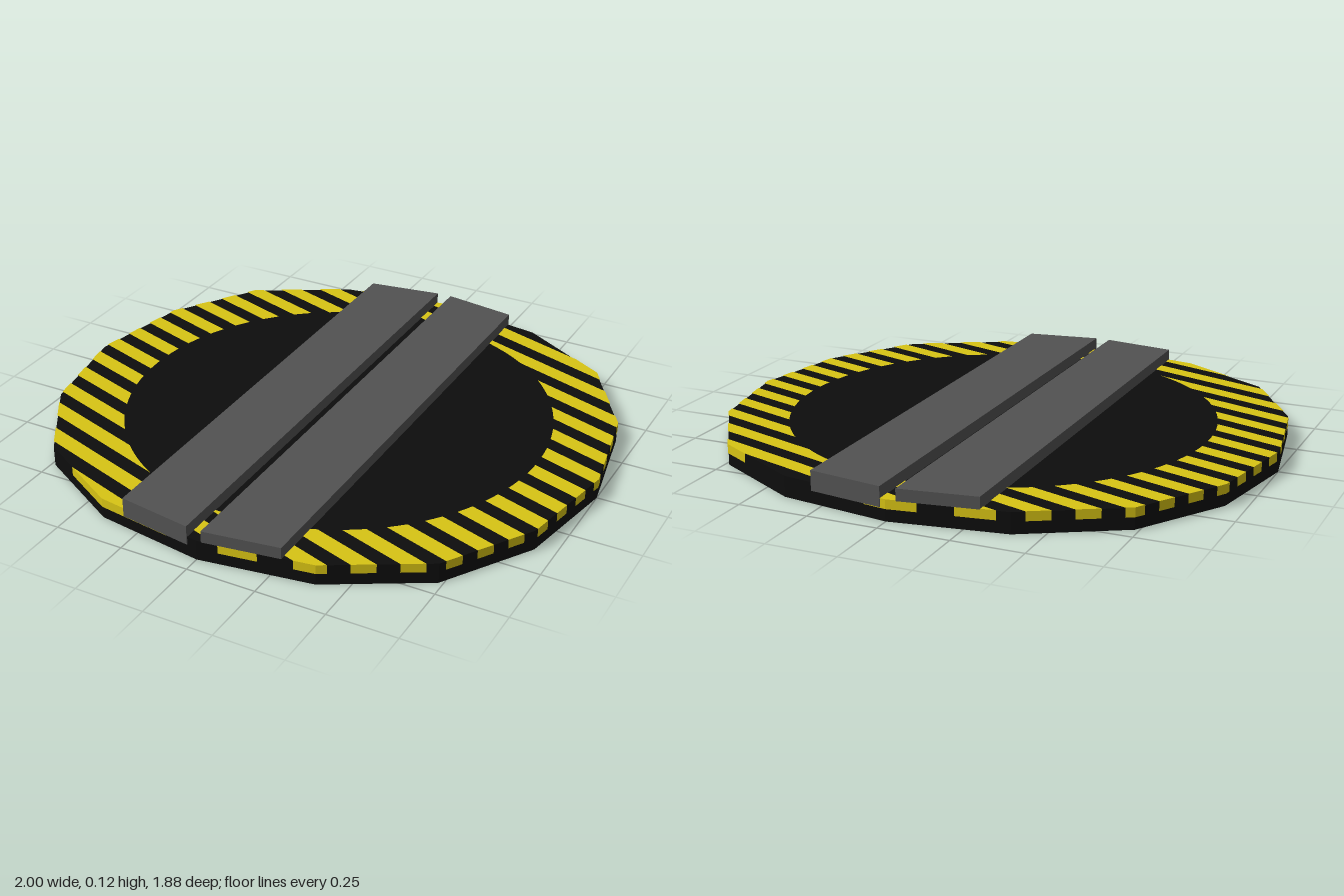
import * as THREE from 'three';

const black = new THREE.MeshStandardMaterial({ name: 'matte black', color: 0x0d0d0d });
const yellow = new THREE.MeshStandardMaterial({ name: 'hazard yellow', color: 0xd8c414 });
const grey = new THREE.MeshStandardMaterial({ name: 'rail grey', color: 0x525252 });

const TOP = 0.073, BAND = 0.042, SLOPE = 0.325;

// Sixteen-sided, slightly squashed outline, mirrored from one quadrant, as [x, z]
const quarter = [[1, 0], [0.93, 0.38], [0.735, 0.69], [0.4, 0.88], [0, 0.94]];
function outline(scale = 1) {
  const points = [];
  for (let i = 0; i < 16; i++) {
    const k = i % 8;
    const [x, z] = quarter[k <= 4 ? k : 8 - k];
    const sx = i > 4 && i < 12 ? -1 : 1, sz = i > 8 ? -1 : 1;
    points.push([sx * x * scale, sz * z * scale]);
  }
  return points;
}

// Upright prism over a plan given as [x, z] points
function prism(name, plan, y0, y1, material) {
  const shape = new THREE.Shape(plan.map(([x, z]) => new THREE.Vector2(x, -z)));
  const geometry = new THREE.ExtrudeGeometry(shape, { depth: y1 - y0, bevelEnabled: false });
  geometry.rotateX(-Math.PI / 2).translate(0, y0, 0);
  const mesh = new THREE.Mesh(geometry, material);
  mesh.name = name;
  return mesh;
}

// Parallel diagonal stripes z = SLOPE * x + c, around the rim and over its edge
function stripes() {
  const rim = outline(1.002), y = TOP + 0.002, positions = [];
  const offset = ([x, z]) => z - SLOPE * x;
  const corners = rim.map(offset);
  const min = Math.min(...corners), max = Math.max(...corners);
  const period = 0.12, half = 0.0315, cx = 0.015, radius = 0.765;

  const quad = (a, b, c, d) => positions.push(...a, ...b, ...c, ...a, ...c, ...d);
  const at = (x, c, h = y) => [x, h, SLOPE * x + c];

  // Where one stripe line meets the outline and the plain inner circle
  function cut(c) {
    const xs = [];
    rim.forEach((p, i) => {
      const q = rim[(i + 1) % rim.length];
      const a = offset(p) - c, b = offset(q) - c;
      if (a * b <= 0 && a !== b) xs.push(p[0] + (q[0] - p[0]) * a / (a - b));
    });
    const A = 1 + SLOPE ** 2, h = SLOPE * c - cx;
    const root = Math.sqrt(Math.max(0, h * h - A * (cx * cx + c * c - radius ** 2))) / A;
    const lo = Math.min(...xs), hi = Math.max(...xs);
    const inner = x => Math.min(hi, Math.max(lo, x));
    return { c, lo, hi, a: inner(-h / A - root), b: inner(-h / A + root) };
  }

  for (let n = -11; n <= 11; n++) {
    const mid = 0.035 + n * period;
    const samples = corners.filter(c => Math.abs(c - mid) < half);
    for (let i = 0; i <= 8; i++) samples.push(mid - half + i * half / 4);
    const rows = samples.filter(c => c >= min && c <= max).sort((p, q) => p - q).map(cut);
    for (let i = 1; i < rows.length; i++) {
      const p = rows[i - 1], q = rows[i];
      if (q.c - p.c < 1e-7) continue;
      quad(at(p.lo, p.c), at(q.lo, q.c), at(q.a, q.c), at(p.a, p.c));
      quad(at(p.b, p.c), at(q.b, q.c), at(q.hi, q.c), at(p.hi, p.c));
      quad(at(p.lo, p.c), at(p.lo, p.c, BAND), at(q.lo, q.c, BAND), at(q.lo, q.c));
      quad(at(p.hi, p.c), at(q.hi, q.c), at(q.hi, q.c, BAND), at(p.hi, p.c, BAND));
    }
  }
  const geometry = new THREE.BufferGeometry();
  geometry.setAttribute('position', new THREE.Float32BufferAttribute(positions, 3));
  geometry.computeVertexNormals();
  const mesh = new THREE.Mesh(geometry, yellow);
  mesh.name = 'hazardStripes';
  return mesh;
}

// Rail whose slanted ends follow the outline, with a lip folded down at one end
function rail(name, x0, x1, lipSide) {
  const group = new THREE.Group();
  group.name = name;
  const end = x => 0.944 - 0.15 * Math.abs(x);
  const plan = [[x0, end(x0)], [x1, end(x1)], [x1, -end(x1)], [x0, -end(x0)]];
  group.add(prism(name + 'Deck', plan, TOP, 0.115, grey));
  const lip = [[x0, end(x0)], [x1, end(x1)], [x1, end(x1) - 0.012], [x0, end(x0) - 0.012]];
  group.add(prism(name + 'Lip', lip.map(([x, z]) => [x, z * lipSide]), 0.045, TOP + 0.001, grey));
  return group;
}

export function createModel() {
  const model = new THREE.Group();
  model.name = 'turntable';
  model.add(prism('platform', outline(), 0, TOP, black));
  model.add(stripes());
  model.add(rail('rightRail', -0.305, -0.035, 1));
  model.add(rail('leftRail', 0.02, 0.29, -1));
  return model;
}
